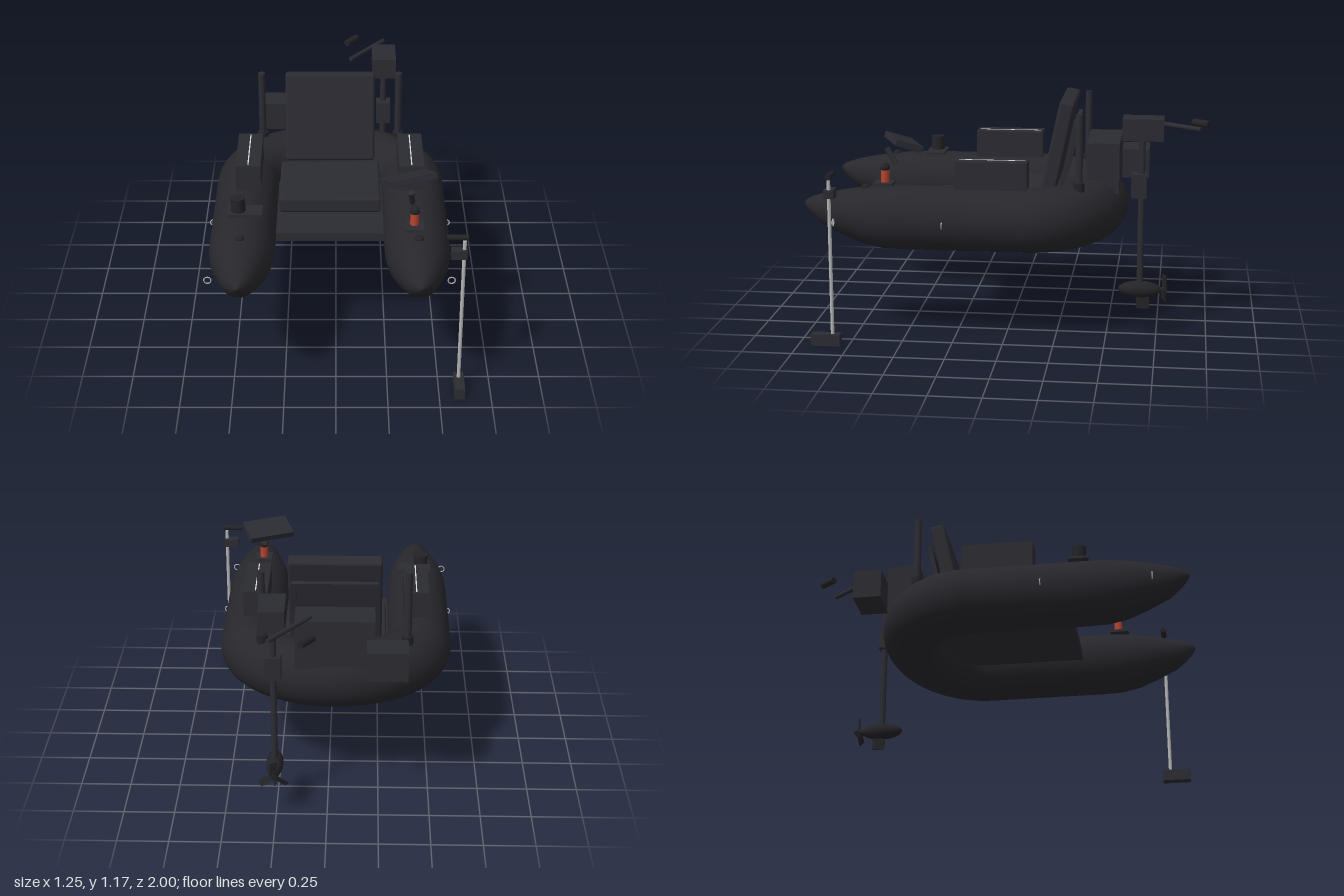
import * as THREE from 'three';
import { RoundedBoxGeometry } from 'three/addons/geometries/RoundedBoxGeometry.js';

const mat = (name, color, side = THREE.FrontSide) => {
  const m = new THREE.MeshStandardMaterial({ color, side });
  m.name = name;
  return m;
};

export function createModel() {
  const M = {
    tube: mat('dark tube', 0x27272c),
    gear: mat('dark gear', 0x2b2b32),
    black: mat('black plastic', 0x232327),
    metal: mat('light metal', 0xb4b4b4),
    zip: mat('zipper', 0xd8d8d8),
    red: mat('red lamp', 0xb5432f),
    blue: mat('solar blue', 0x14244c),
  };
  const root = new THREE.Group();
  root.name = 'pontoonBoat';
  const CX = -0.03; // centre line of the hull

  const add = (name, geo, m, x = 0, y = 0, z = 0, parent = root) => {
    const mesh = new THREE.Mesh(geo, m);
    mesh.name = name;
    mesh.position.set(x, y, z);
    parent.add(mesh);
    return mesh;
  };
  // box given by its limits on each axis
  const box = (name, m, x0, x1, y0, y1, z0, z1, r = 0) => {
    const s = [x1 - x0, y1 - y0, z1 - z0];
    const g = r ? new RoundedBoxGeometry(...s, 3, r) : new THREE.BoxGeometry(...s);
    return add(name, g, m, (x0 + x1) / 2, (y0 + y1) / 2, (z0 + z1) / 2);
  };
  // rod between two points
  const rod = (name, m, a, b, r, n = 16) => {
    const p = new THREE.Vector3(...a), q = new THREE.Vector3(...b);
    const d = q.clone().sub(p);
    const mesh = add(name, new THREE.CylinderGeometry(r, r, d.length(), n), m);
    mesh.position.copy(p).add(q).multiplyScalar(0.5);
    mesh.quaternion.setFromUnitVectors(new THREE.Vector3(0, 1, 0), d.normalize());
    return mesh;
  };

  // U-shaped inflatable tube: [z, centre height, radius] along one leg
  const leg = [[1, 0.67, 0.003], [0.993, 0.669, 0.016], [0.975, 0.663, 0.034], [0.95, 0.655, 0.052],
    [0.9, 0.642, 0.08], [0.8, 0.628, 0.114], [0.7, 0.616, 0.142], [0.6, 0.61, 0.157],
    [0.5, 0.61, 0.16], [0.2, 0.61, 0.16]];
  const st = leg.map(([z, y, r]) => ({ p: new THREE.Vector3(CX + 0.425, y, z), r }));
  for (let i = 0; i <= 32; i++) {
    const a = (i / 32) * Math.PI;
    st.push({ p: new THREE.Vector3(CX + 0.425 * Math.cos(a), 0.61, -0.1 - 0.33 * Math.sin(a)), r: 0.16 });
  }
  for (const [z, y, r] of [...leg].reverse()) st.push({ p: new THREE.Vector3(CX - 0.425, y, z), r });
  const N = 36, pos = [], idx = [], up = new THREE.Vector3(0, 1, 0);
  st.forEach(({ p, r }, i) => {
    const t = st[Math.min(i + 1, st.length - 1)].p.clone().sub(st[Math.max(i - 1, 0)].p).setY(0).normalize();
    const s = t.cross(up);
    for (let j = 0; j < N; j++) {
      const a = (j / N) * Math.PI * 2, c = r * Math.cos(a);
      pos.push(p.x + s.x * c, p.y + r * Math.sin(a), p.z + s.z * c);
      if (i < st.length - 1) {
        const k = (j + 1) % N, A = i * N + j, B = i * N + k;
        idx.push(A, A + N, B, B, A + N, B + N);
      }
    }
  });
  const hull = new THREE.BufferGeometry();
  hull.setAttribute('position', new THREE.Float32BufferAttribute(pos, 3));
  hull.setIndex(idx);
  hull.computeVertexNormals();
  add('hullTube', hull, M.tube);

  // floor and seat
  box('floor', M.gear, -0.3, 0.24, 0.575, 0.62, -0.36, 0.41);
  box('seatCushion', M.gear, -0.285, 0.225, 0.62, 0.7, -0.2, 0.208, 0.012);
  const back = new THREE.Group();
  back.name = 'backrest';
  back.position.set(CX, 0.94, -0.242);
  back.rotation.x = -0.21;
  root.add(back);
  add('backPad', new RoundedBoxGeometry(0.46, 0.46, 0.075, 3, 0.014), M.gear, 0, 0, 0, back);
  for (const s of [-1, 1]) add('backStrut', new THREE.BoxGeometry(0.025, 0.38, 0.022), M.gear, s * 0.2, -0.06, -0.062, back);
  add('backCrossbar', new THREE.BoxGeometry(0.425, 0.025, 0.022), M.gear, 0, 0.12, -0.062, back);

  // rear storage
  box('rearBox', M.gear, -0.225, 0.16, 0.7, 0.955, -0.55, -0.385);
  box('batteryBox', M.gear, -0.385, -0.187, 0.71, 0.86, -0.69, -0.547);

  // mirrored fittings
  for (const s of [-1, 1]) {
    const cx = CX + s * 0.405;
    box('sidePocket', M.gear, cx - 0.062, cx + 0.062, 0.765, 0.903, -0.113, 0.24);
    box('pocketZipper', M.zip, cx - 0.003, cx + 0.003, 0.902, 0.905, -0.1, 0.225);
    const px = CX + s * 0.357;
    rod('rodHolder', M.gear, [px, 0.74, -0.36], [px, 1.13, -0.36], 0.018);
    rod('rodHolderBase', M.black, [px, 0.74, -0.36], [px, 0.79, -0.36], 0.028);
    const valve = add('airValve', new THREE.SphereGeometry(0.022, 16, 10), M.black, CX + s * 0.425, 0.758, 0.69);
    valve.scale.y = 0.8;
    add('towRing', new THREE.TorusGeometry(0.017, 0.003, 8, 20), M.metal, CX + s * 0.574, 0.61, 0.825);
    add('sideRing', new THREE.TorusGeometry(0.015, 0.003, 8, 20), M.metal, CX + s * 0.582, 0.61, 0.288);
  }

  // cup holder
  box('cupPlate', M.gear, -0.525, -0.355, 0.772, 0.784, 0.415, 0.515);
  rod('cupHolder', M.black, [-0.473, 0.784, 0.467], [-0.473, 0.855, 0.467], 0.035, 24);

  // lamp
  box('lampPlate', M.gear, 0.33, 0.42, 0.768, 0.782, 0.553, 0.65);
  rod('lampBody', M.red, [0.375, 0.782, 0.595], [0.375, 0.845, 0.595], 0.021);
  add('lampCap', new THREE.SphereGeometry(0.024, 20, 12), M.black, 0.375, 0.855, 0.595);

  // tilted solar panel
  rod('panelPost', M.gear, [0.355, 0.95, 0.59], [0.365, 0.87, 0.54], 0.014);
  const panel = new THREE.Group();
  panel.name = 'solarPanel';
  panel.position.set(0.345, 0.98, 0.505);
  panel.rotation.set(-0.33, 0.42, 0, 'YXZ');
  root.add(panel);
  add('panelFrame', new THREE.BoxGeometry(0.24, 0.03, 0.14), M.gear, 0, 0, 0, panel);
  add('panelCells', new THREE.BoxGeometry(0.22, 0.005, 0.125), M.blue, 0, -0.016, 0, panel);

  // anchor pole
  rod('anchorPole', M.metal, [0.597, 0.05, 0.83], [0.597, 0.83, 0.83], 0.009);
  box('anchorFoot', M.gear, 0.573, 0.623, 0, 0.058, 0.79, 0.935);
  box('poleClamp', M.gear, 0.535, 0.61, 0.742, 0.785, 0.805, 0.855);
  rod('poleHandle', M.black, [0.513, 0.849, 0.83], [0.613, 0.849, 0.83], 0.014);

  // trolling motor
  const mx = 0.257, mz = -0.665;
  rod('motorShaft', M.gear, [mx, 0.22, mz], [mx, 1.01, mz], 0.016);
  box('motorHead', M.gear, 0.195, 0.32, 1.002, 1.11, -0.77, -0.568);
  box('motorBracket', M.gear, 0.22, 0.295, 0.71, 0.83, -0.69, -0.615);
  rod('tillerRod', M.gear, [0.08, 1.055, -0.7], [0.262, 1.055, -0.95], 0.012);
  rod('tillerGrip', M.black, [0.06, 1.055, -0.912], [0.114, 1.055, -0.988], 0.018);
  const pod = add('motorPod', new THREE.SphereGeometry(0.042, 24, 16), M.black, mx, 0.237, mz);
  pod.scale.z = 2.58;
  box('motorFin', M.black, mx - 0.004, mx + 0.004, 0.137, 0.21, -0.713, -0.648);
  rod('propHub', M.black, [mx, 0.237, -0.76], [mx, 0.237, -0.8], 0.014);
  for (let i = 0; i < 3; i++) {
    const arm = new THREE.Group();
    arm.name = 'propeller';
    arm.position.set(mx, 0.237, -0.787);
    arm.rotation.z = (i * Math.PI * 2) / 3;
    root.add(arm);
    add('propBlade', new THREE.BoxGeometry(0.036, 0.07, 0.005), M.black, 0, 0.042, 0, arm).rotation.y = 0.5;
  }
  return root;
}
